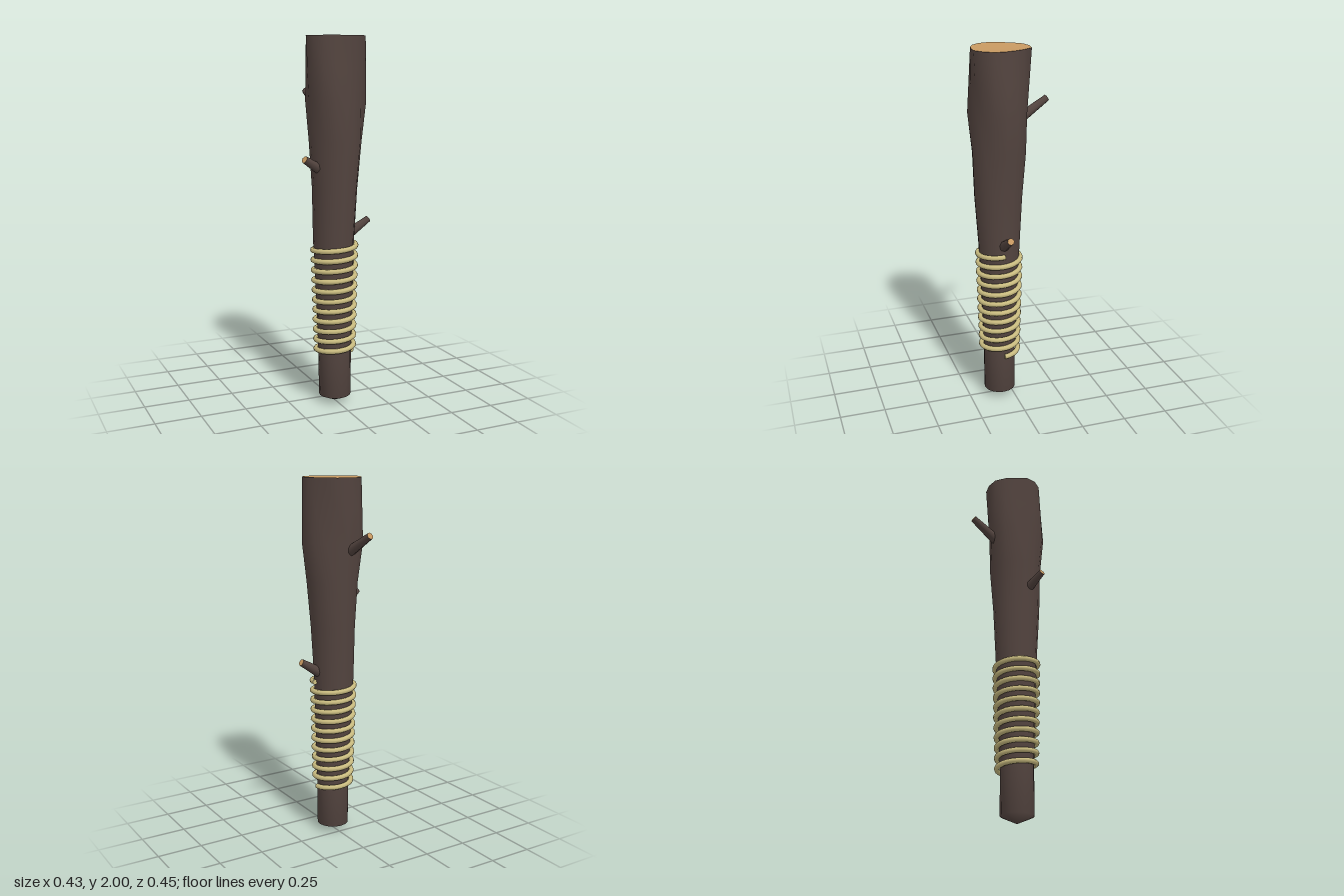
import * as THREE from 'three';

const SIDES = 16;
const CZ = 0.07; // z of the trunk axis

// radii around the axis, from +x towards +z
const TOP = [.147, .16, .158, .157, .142, .142, .15, .16, .165, .152, .158, .17, .17, .172, .151, .141];
const BULGE = [.165, .165, .146, .142, .15, .163, .165, .152, .149, .157, .168, .172, .156, .15, .15, .16];

function polarRing(y, radii) {
  return radii.map((r, i) => {
    const a = (i / SIDES) * Math.PI * 2;
    return [r * Math.cos(a), y, CZ + r * Math.sin(a)];
  });
}

function ovalRing(y, x0, x1, z0, z1) {
  return Array.from({ length: SIDES }, (_, i) => {
    const a = (i / SIDES) * Math.PI * 2;
    return [
      (x0 + x1) / 2 + ((x1 - x0) / 2) * Math.cos(a), y,
      (z0 + z1) / 2 + ((z1 - z0) / 2) * Math.sin(a),
    ];
  });
}

function surface(points, index) {
  const g = new THREE.BufferGeometry();
  g.setAttribute('position', new THREE.Float32BufferAttribute(points.flat(), 3));
  g.setIndex(index);
  g.computeVertexNormals();
  return g;
}

// trunk skin: rings from the foot upwards, closed by a blunt point below
function barkGeometry(rings) {
  const points = [...rings.flat(), [0, 0, CZ]];
  const tip = points.length - 1;
  const index = [];
  for (let i = 0; i < SIDES; i++) {
    const j = (i + 1) % SIDES;
    index.push(tip, i, j);
    for (let r = 0; r < rings.length - 1; r++) {
      const a = r * SIDES + i, b = r * SIDES + j;
      index.push(a, a + SIDES, b + SIDES, a, b + SIDES, b);
    }
  }
  return surface(points, index);
}

// sawn face on top, slightly hollow in the middle
function cutGeometry(rim) {
  const index = [];
  for (let i = 0; i < SIDES; i++) index.push(SIDES, (i + 1) % SIDES, i);
  return surface([...rim, [0, 1.99, CZ]], index);
}

// coil winding upwards around the handle
class Coil extends THREE.Curve {
  getPoint(t, target = new THREE.Vector3()) {
    const a = -t * 11 * Math.PI * 2;
    const r = 0.103 + 0.015 * t;
    return target.set(r * Math.cos(a) - 0.004 * t, 0.277 + 0.615 * t, CZ + r * Math.sin(a));
  }
}

export function createModel() {
  const bark = new THREE.MeshStandardMaterial({ color: 0x53443f });
  bark.name = 'bark';
  const wood = new THREE.MeshStandardMaterial({ color: 0xc89a62 });
  wood.name = 'cutWood';
  const cord = new THREE.MeshStandardMaterial({ color: 0xcabc80 });
  cord.name = 'cord';

  const model = new THREE.Group();
  model.name = 'woodenClub';
  const add = (name, geometry, material) => {
    const mesh = new THREE.Mesh(geometry, material);
    mesh.name = name;
    model.add(mesh);
    return mesh;
  };

  // trunk
  const rim = polarRing(2, TOP);
  add('trunk', barkGeometry([
    ovalRing(0.04, -0.088, 0.088, -0.017, 0.16),
    ovalRing(0.3, -0.092, 0.09, -0.017, 0.16),
    ovalRing(0.6, -0.103, 0.097, -0.03, 0.17),
    ovalRing(0.92, -0.118, 0.104, -0.045, 0.182),
    ovalRing(1.2, -0.123, 0.117, -0.058, 0.203),
    ovalRing(1.45, -0.138, 0.142, -0.075, 0.212),
    polarRing(1.66, BULGE),
    polarRing(1.83, TOP.map((r, i) => (r + BULGE[i]) / 2)),
    rim,
  ]), bark);
  add('cutTop', cutGeometry(rim), wood);

  // twig stubs with cut ends
  const twigs = [
    ['leftTwig', [0.07, 0.935, 0.07], [0.202, 1.016, 0.066]],
    ['rightTwig', [-0.07, 1.29, 0.09], [-0.203, 1.367, 0.138]],
    ['backTwig', [-0.025, 1.605, -0.04], [-0.052, 1.71, -0.215]],
  ];
  for (const [name, from, to] of twigs) {
    const a = new THREE.Vector3(...from), b = new THREE.Vector3(...to);
    const direction = b.clone().sub(a);
    const twig = add(name, new THREE.CylinderGeometry(0.019, 0.031, direction.length(), 8), [bark, wood, bark]);
    twig.position.copy(a).add(b).multiplyScalar(0.5);
    twig.quaternion.setFromUnitVectors(new THREE.Vector3(0, 1, 0), direction.normalize());
  }

  // cord grip and its two ends
  const coil = new Coil();
  add('cordGrip', new THREE.TubeGeometry(coil, 264, 0.0145, 8), cord);
  for (const t of [0, 1]) {
    const end = add(t ? 'upperCordEnd' : 'lowerCordEnd', new THREE.CircleGeometry(0.0145, 8), cord);
    const out = coil.getTangent(t).multiplyScalar(t ? 1 : -1);
    end.position.copy(coil.getPoint(t));
    end.quaternion.setFromUnitVectors(new THREE.Vector3(0, 0, 1), out);
  }
  return model;
}
